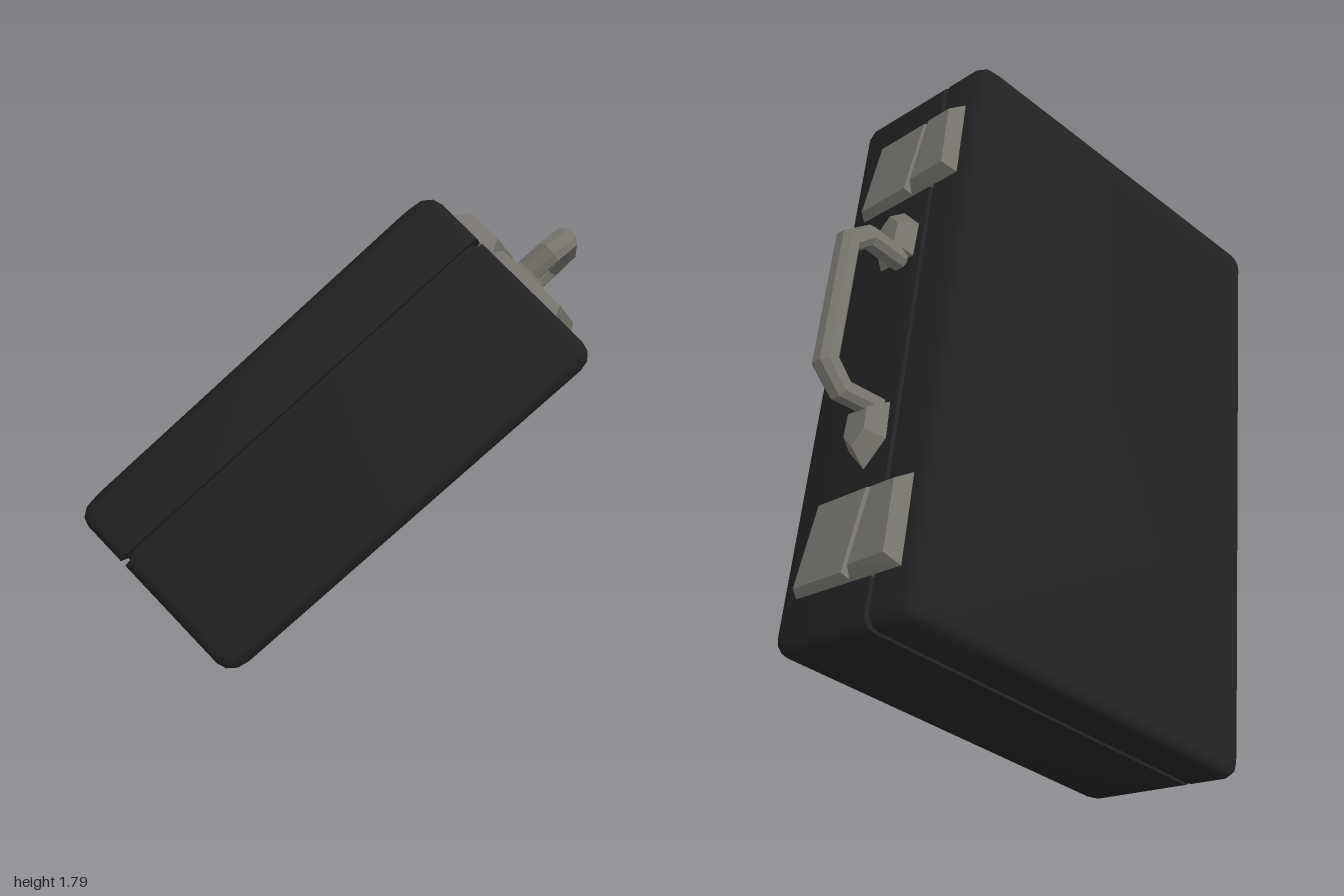
import * as THREE from 'three';
import { toCreasedNormals } from 'three/addons/utils/BufferGeometryUtils.js';

const T = 0.53, H = 1.11, L = 1.75; // thickness, height, length
const TOP = H / 2;

// Local x = thickness, y = up towards the handle, z = length; leaned over onto a corner
const pose = new THREE.Matrix4().makeBasis(
  new THREE.Vector3(0.845, -0.53, -0.06),
  new THREE.Vector3(0.434, 0.637, -0.637),
  new THREE.Vector3(0.447, 0.493, 0.743),
).setPosition(0, 0.907, 0);

const ARC = [0, 1, 2, 3].map((i) => (i * Math.PI) / 6);

// Rounded rectangle in the y-z plane, running from +y towards +z
function ring(x, inset) {
  const r = 0.035, pts = [];
  const hy = H / 2 - inset - r, hz = L / 2 - inset - r;
  for (let q = 0; q < 4; q++) {
    const sy = q === 0 || q === 3 ? 1 : -1, sz = q < 2 ? 1 : -1;
    for (const a of ARC) {
      const t = a + (q * Math.PI) / 2;
      pts.push([x, sy * hy + r * Math.cos(t), sz * hz + r * Math.sin(t)]);
    }
  }
  return pts;
}

// Closed solid through rings given as [x, inset]
function loft(sections) {
  const rings = sections.map(([x, inset]) => ring(x, inset));
  const n = rings[0].length, last = rings.length - 1;
  const pos = rings.flat(2), idx = [];
  for (let i = 0; i < last; i++) {
    for (let j = 0; j < n; j++) {
      const k = (j + 1) % n, a = i * n + j, b = i * n + k;
      idx.push(a, b, b + n, a, b + n, a + n);
    }
  }
  for (let j = 1; j < n - 1; j++) {
    idx.push(0, j + 1, j, last * n, last * n + j, last * n + j + 1);
  }
  const g = new THREE.BufferGeometry();
  g.setAttribute('position', new THREE.Float32BufferAttribute(pos, 3));
  g.setIndex(idx);
  return toCreasedNormals(g, 0.6);
}

// Bevelled plate lying on the top face, outline in [x, z]
function plate(points, height, bevel) {
  const shape = new THREE.Shape(points.map(([x, z]) => new THREE.Vector2(x, -z)));
  const g = new THREE.ExtrudeGeometry(shape, {
    depth: 0.02, bevelEnabled: true, bevelSize: bevel, bevelOffset: -bevel,
    bevelThickness: height, bevelSegments: 1,
  });
  return g.rotateX(-Math.PI / 2).translate(0, TOP - 0.018, 0);
}

export function createModel() {
  const model = new THREE.Group();
  model.name = 'briefcase';
  const leather = new THREE.MeshStandardMaterial({ color: 0x212121 });
  leather.name = 'black leather';
  const metal = new THREE.MeshStandardMaterial({ color: 0x75726a });
  metal.name = 'dull metal';

  const add = (name, geometry, material) => {
    const mesh = new THREE.Mesh(geometry.applyMatrix4(pose), material);
    mesh.name = name;
    model.add(mesh);
  };

  // Case: rounded outer faces with a narrow groove between lid and body
  const r = 0.045, seam = -0.1;
  const fillet = ARC.map((a) => [r * (1 - Math.cos(a)), r * (1 - Math.sin(a))]);
  add('case', loft([
    ...fillet.map(([d, inset]) => [-T / 2 + d, inset]),
    [seam - 0.008, 0], [seam - 0.006, 0.014], [seam + 0.006, 0.014], [seam + 0.008, 0],
    ...[...fillet].reverse().map(([d, inset]) => [T / 2 - d, inset]),
  ]), leather);

  // Two latches: a clasp over the seam and a slanted plate behind it
  for (const [side, z] of [['front', 0.6], ['rear', -0.615]]) {
    const a = z - 0.125, b = z + 0.125;
    add(`${side}Clasp`, plate([[-0.2, a], [-0.2, b], [-0.07, b], [-0.02, a]], 0.035, 0.025), metal);
    add(`${side}LatchPlate`, plate([[-0.025, a], [-0.075, b], [0.135, b], [0.185, a]], 0.025, 0.015), metal);
  }

  // Handle mounts, mirrored along the length
  for (const s of [1, -1]) {
    const outline = [[-0.065, 0.24], [0.065, 0.24], [0.07, 0.35], [0, 0.42], [-0.07, 0.35]]
      .map(([x, z]) => [x, s * z]);
    add(s > 0 ? 'frontHandleMount' : 'rearHandleMount', plate(outline, 0.045, 0.03), metal);
  }

  // Handle: an angular arch with bevelled edges
  const half = [[0.27, -0.01], [0.28, 0.125], [0.21, 0.2]];
  const inner = [[0.18, 0.145], [0.222, 0.105], [0.215, -0.01]];
  const arch = [
    ...half, ...[...half].reverse().map(([z, y]) => [-z, y]),
    ...[...inner].reverse().map(([z, y]) => [-z, y]), ...inner,
  ].map(([z, y]) => new THREE.Vector2(z, y));
  const handle = new THREE.ExtrudeGeometry(new THREE.Shape(arch), {
    depth: 0.03, bevelEnabled: true, bevelSize: 0.014, bevelOffset: -0.014,
    bevelThickness: 0.018, bevelSegments: 1,
  });
  handle.translate(0, 0, -0.015).rotateY(-Math.PI / 2).translate(-0.015, TOP, 0);
  add('handle', handle, metal);

  return model;
}
